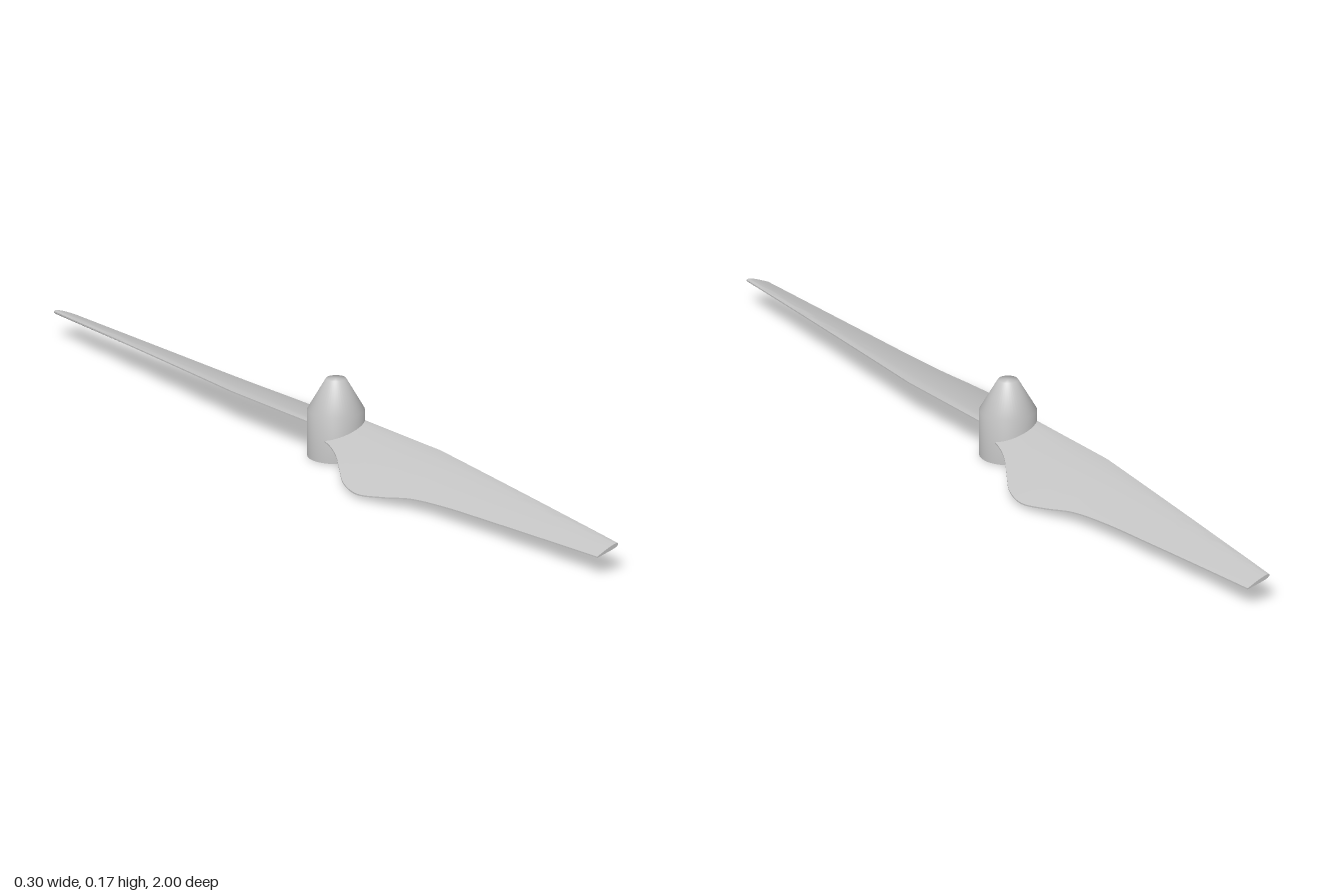
import * as THREE from 'three';
import { toCreasedNormals } from 'three/addons/utils/BufferGeometryUtils.js';

const grey = new THREE.MeshStandardMaterial({ color: 0xc4c4c4 });
grey.name = 'light grey';

// Trailing edge outline of one blade, as [z, x] going from root to tip
const trailing = new THREE.CatmullRomCurve3([
  [0, -0.05], [0.05, -0.06], [0.1, -0.08], [0.15, -0.11], [0.2, -0.138], [0.26, -0.15],
  [0.33, -0.135], [0.4, -0.113], [0.5, -0.1], [0.65, -0.091], [0.82, -0.082], [1, -0.073],
].map(([z, x]) => new THREE.Vector3(x, 0, z)), false, 'centripetal');

// Straight leading edge near the hub, then a taper to the tip
const leadingX = z => (z < 0.3 ? 0.051 : 0.051 - (z - 0.3) / 0.7 * 0.066);

// Cambered surface shared by all sections: y falls towards the trailing edge
const camberY = x => 0.066 + 0.255 * x - 0.8 * x * x;

function bladeGeometry() {
  const sections = 72, chordSteps = 12, ring = chordSteps * 2 + 2;
  const pos = [], idx = [];
  for (let s = 0; s <= sections; s++) {
    const edge = trailing.getPoint(s / sections);
    const lead = leadingX(edge.z);
    for (let k = 0; k < ring; k++) {
      const upper = k <= chordSteps;
      const u = (upper ? k : ring - 1 - k) / chordSteps;
      const x = THREE.MathUtils.lerp(lead, edge.x, u);
      const half = 0.0015 + 0.0035 * Math.sin(Math.PI * Math.sqrt(u));
      pos.push(x, camberY(x) + (upper ? half : -half), edge.z);
    }
  }
  // Skin between neighbouring sections
  for (let s = 0; s < sections; s++) {
    for (let k = 0; k < ring; k++) {
      const a = s * ring + k, b = s * ring + (k + 1) % ring;
      idx.push(a, b, a + ring, b, b + ring, a + ring);
    }
  }
  // Flat tip
  const t = sections * ring;
  for (let k = 0; k < chordSteps; k++) {
    const a = t + k, b = t + k + 1, c = t + ring - 1 - k, d = c - 1;
    idx.push(a, b, c, b, d, c);
  }
  const geo = new THREE.BufferGeometry();
  geo.setAttribute('position', new THREE.Float32BufferAttribute(pos, 3));
  geo.setIndex(idx);
  return toCreasedNormals(geo, 0.7);
}

export function createModel() {
  const propeller = new THREE.Group();
  propeller.name = 'propeller';

  // Hub: cylinder with a blunt conical nose, softly shaded
  const profile = [[0.0625, 0], [0.0625, 0.105], [0.022, 0.175], [0, 0.175]];
  const hub = new THREE.Mesh(
    new THREE.LatheGeometry(profile.map(p => new THREE.Vector2(...p)), 48), grey);
  hub.name = 'hub';
  propeller.add(hub);

  // Underside of the hub
  const base = new THREE.Mesh(new THREE.CircleGeometry(0.0625, 48), grey);
  base.rotation.x = Math.PI / 2;
  base.name = 'hubBase';
  propeller.add(base);

  // Two blades, half a turn apart
  const geo = bladeGeometry();
  ['frontBlade', 'backBlade'].forEach((name, i) => {
    const blade = new THREE.Mesh(geo, grey);
    blade.name = name;
    blade.rotation.y = i * Math.PI;
    propeller.add(blade);
  });
  return propeller;
}
